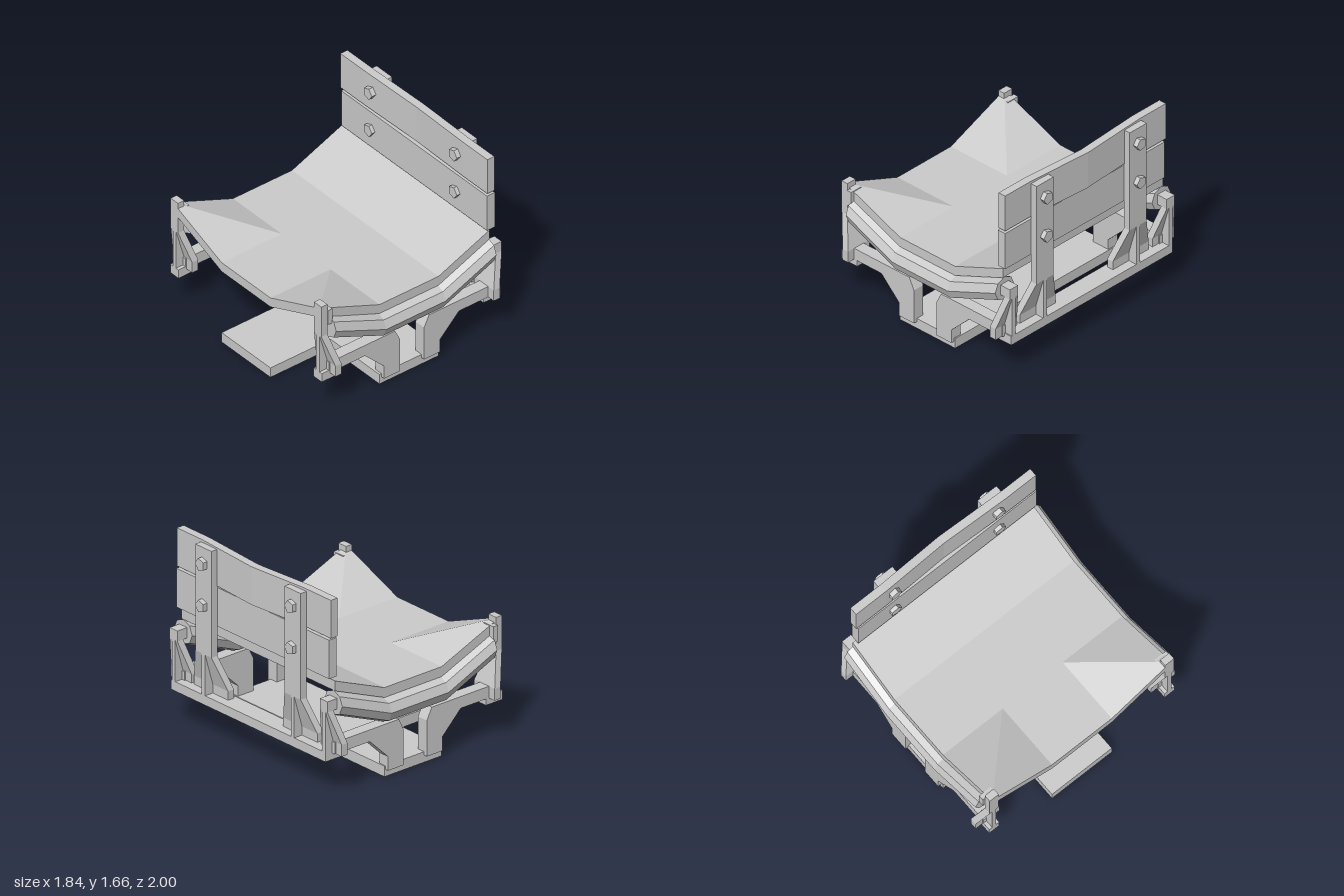
import * as THREE from 'three';

const material = new THREE.MeshStandardMaterial({ color: 0xcccccc, flatShading: true });

export function createModel() {
  const model = new THREE.Group();

  const add = (name, geometry) => {
    const mesh = new THREE.Mesh(geometry, material);
    mesh.name = name;
    model.add(mesh);
    return mesh;
  };

  // Box given by its min/max limits on each axis
  const box = (name, x0, x1, y0, y1, z0, z1) => {
    const g = new THREE.BoxGeometry(x1 - x0, y1 - y0, z1 - z0);
    g.translate((x0 + x1) / 2, (y0 + y1) / 2, (z0 + z1) / 2);
    return add(name, g);
  };

  // Flat-faced geometry from a list of triangles (each three Vector3)
  const fromTriangles = (tris) => {
    const g = new THREE.BufferGeometry().setFromPoints(tris.flat());
    g.computeVertexNormals();
    return g;
  };

  // Outline in x,y extruded between two z values
  const plate = (name, points, z0, z1) => {
    const shape = new THREE.Shape(points.map(([x, y]) => new THREE.Vector2(x, y)));
    const g = new THREE.ExtrudeGeometry(shape, { depth: z1 - z0, bevelEnabled: false });
    return add(name, g.translate(0, 0, z0));
  };

  // T-shaped base
  plate('base', [[-0.92, 0], [0.27, 0], [0.27, 0.09], [-0.92, 0.09]], -0.3, 0.3);
  for (const s of [-1, 1]) box('baseWing', -0.32, 0.27, 0, 0.09, s < 0 ? -0.9 : 0.3, s < 0 ? -0.3 : 0.9);

  // Seat: a folded slab, raised on the right and at both left corners
  const xs = [-0.92, -0.32, 0.27, 0.78], zs = [-0.9, -0.3, 0.3, 0.9];
  const height = (i, j) => (i === 3 ? 0.97 : i === 0 && (j === 0 || j === 3) ? 1.0 : 0.76);
  const top = (i, j) => new THREE.Vector3(xs[i], height(i, j), zs[j]);
  const low = (i, j) => top(i, j).setY(height(i, j) - 0.085);
  const seat = [];
  for (let i = 0; i < 3; i++) {
    for (let j = 0; j < 3; j++) {
      const corners = [[i, j], [i, j + 1], [i + 1, j + 1], [i + 1, j]];
      if (j === 2) corners.push(corners.shift());
      const [a, b, c, d] = corners;
      for (const [p, q, r] of [[a, b, c], [a, c, d]]) {
        seat.push([top(...p), top(...q), top(...r)], [low(...p), low(...r), low(...q)]);
      }
    }
  }
  const rim = [[0, 0], [0, 1], [0, 2], [0, 3], [1, 3], [2, 3], [3, 3], [3, 2], [3, 1], [3, 0], [2, 0], [1, 0]];
  rim.forEach((p, k) => {
    const q = rim[(k + 1) % rim.length];
    seat.push([low(...p), low(...q), top(...q)], [low(...p), top(...q), top(...p)]);
  });
  add('seat', fromTriangles(seat));

  // Octagonal rails that follow the fold of the seat
  const path = [[-0.82, 0.78], [-0.32, 0.57], [0.27, 0.57], [0.78, 0.78]];
  const railGeometry = (z) => {
    const ring = (k, i) => {
      const a = (i * Math.PI) / 4;
      return new THREE.Vector3(path[k][0], path[k][1] + 0.105 * Math.sin(a), z + 0.105 * Math.cos(a));
    };
    const tris = [];
    for (let i = 0; i < 8; i++) {
      for (let k = 0; k < 3; k++) {
        const a = ring(k, i), b = ring(k + 1, i), c = ring(k + 1, i + 1), d = ring(k, i + 1);
        tris.push([a, b, c], [a, c, d]);
      }
      tris.push([new THREE.Vector3(...path[0], z), ring(0, i), ring(0, i + 1)]);
      tris.push([new THREE.Vector3(...path[3], z), ring(3, i + 1), ring(3, i)]);
    }
    return fromTriangles(tris);
  };

  // Flared foot: narrow at the post, wider and further inward at the bottom
  const flare = (name, side, outer, z, topHalf, baseHalf) => {
    const levels = [[0.365, 0.08, baseHalf], [0.465, 0.08, baseHalf], [0.74, 0, topHalf]];
    const loop = levels.map(([y, inset, half]) => {
      const x1 = outer - side * inset, x0 = x1 - side * 0.06;
      const [lo, hi] = [Math.min(x0, x1), Math.max(x0, x1)];
      return [[lo, z + half], [hi, z + half], [hi, z - half], [lo, z - half]]
        .map(([x, zz]) => new THREE.Vector3(x, y, zz));
    });
    const tris = [];
    for (let l = 0; l < 2; l++) {
      for (let i = 0; i < 4; i++) {
        const n = (i + 1) % 4;
        tris.push([loop[l][i], loop[l][n], loop[l + 1][n]], [loop[l][i], loop[l + 1][n], loop[l + 1][i]]);
      }
    }
    const [b, t] = [loop[0], loop[2]];
    tris.push([b[0], b[2], b[1]], [b[0], b[3], b[2]], [t[0], t[1], t[2]], [t[0], t[2], t[3]]);
    add(name, fromTriangles(tris));
    // Central rib
    const inner = outer - side * 0.08;
    box(name + 'Rib', Math.min(inner, outer), Math.max(inner, outer), 0.31, 0.74, z - 0.02, z + 0.02);
  };

  // Legs and corner posts at both ends
  const leg = [[-0.3, 0.06], [-0.14, 0.06], [-0.14, 0.365], [-0.19, 0.465],
    [-0.85, 0.465], [-0.85, 0.365], [-0.49, 0.365], [-0.3, 0.18]];
  for (const s of [-1, 1]) {
    const z = s * 0.88;
    add('rail', railGeometry(z));
    plate('leftLegBracket', leg, z - 0.052, z + 0.052);
    plate('rightLegBracket', leg.map(([x, y]) => [-0.04 - x, y]).reverse(), z - 0.052, z + 0.052);
    box('tallCornerPost', -0.92, -0.86, 0.74, 1.025, z - 0.045, z + 0.045);
    box('tallPostHolder', -0.86, -0.815, 0.83, 0.965, z - 0.065, z + 0.05);
    box('shortCornerPost', 0.78, 0.88, 0.74, 0.83, z - 0.045, z + 0.045);
    box('cornerFoot', -0.92, -0.75, 0.31, 0.39, z - 0.05, z + 0.05);
    flare('leftCornerFlare', -1, -0.92, z, 0.045, 0.12);
    flare('rightCornerFlare', 1, 0.88, z, 0.045, 0.12);
  }
  box('sideBeam', 0.71, 0.88, 0.31, 0.39, -0.9, 0.91);

  // Backrest posts with five-sided bolts
  for (const z of [-0.515, 0.53]) {
    box('backPost', 0.82, 0.88, 0.74, 1.645, z - 0.095, z + 0.095);
    flare('backPostFlare', 1, 0.88, z, 0.095, 0.2);
    for (const y of [1.155, 1.51]) {
      const bolt = new THREE.CylinderGeometry(0.054, 0.054, 0.21, 5);
      bolt.rotateZ(Math.PI / 2).translate(0.815, y, z);
      add('bolt', bolt);
    }
  }

  // Backrest boards, the upper one bent slightly at the middle
  box('lowerBackBoard', 0.742, 0.82, 0.99, 1.32, -0.875, 0.915);
  const upper = new THREE.BoxGeometry(0.07, 0.325, 1.805, 1, 1, 6).translate(0.782, 1.5025, 0.01);
  const p = upper.attributes.position;
  for (let i = 0; i < p.count; i++) {
    const bend = Math.max(0, 1 - Math.abs(p.getZ(i) - 0.01) / 0.6);
    p.setX(i, p.getX(i) + 0.025 * bend);
    p.setY(i, p.getY(i) - 0.015 * bend);
  }
  upper.computeVertexNormals();
  add('upperBackBoard', upper);

  return model;
}
